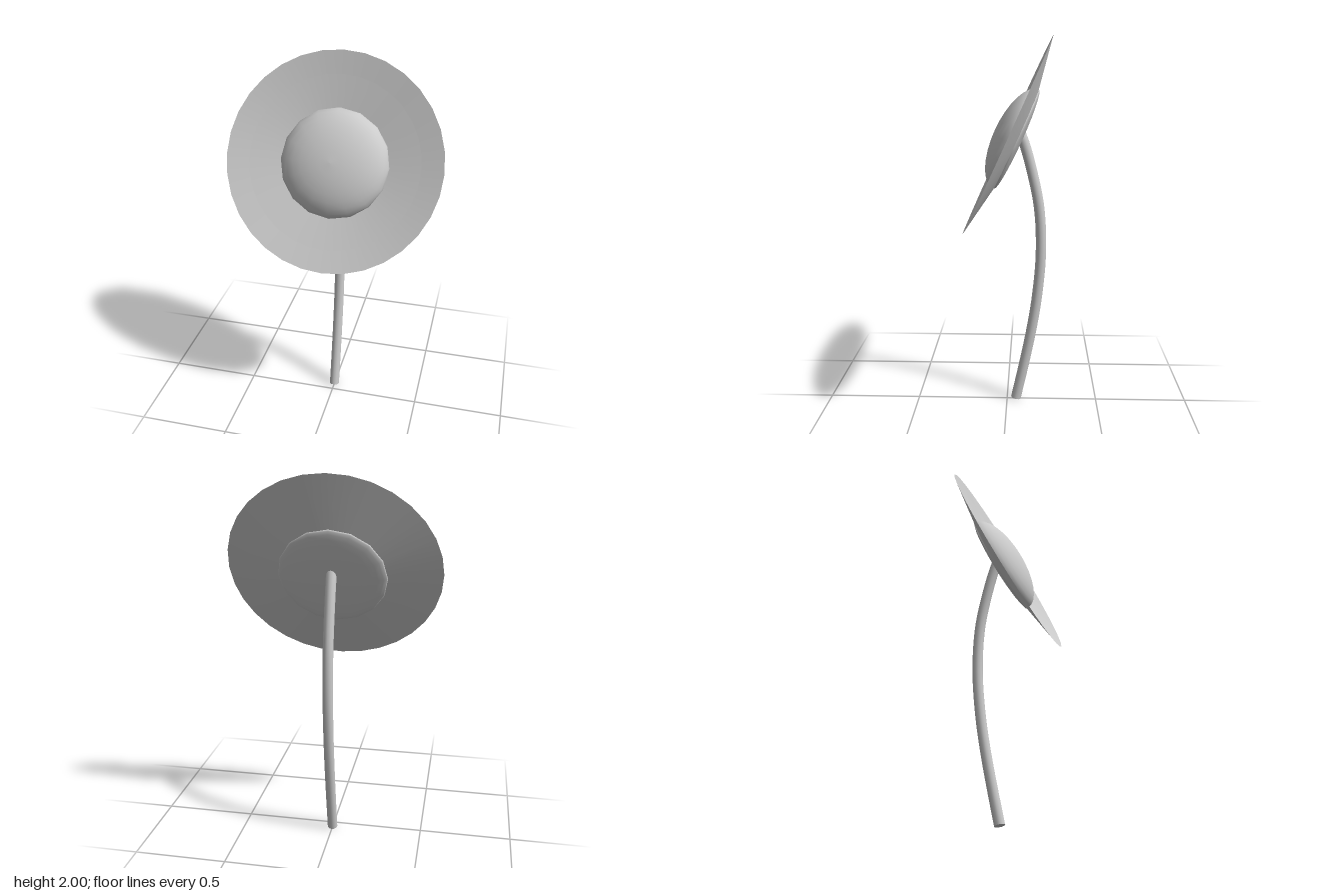
import * as THREE from 'three';

const material = new THREE.MeshStandardMaterial({ color: 0xcccccc });
const thinMaterial = new THREE.MeshStandardMaterial({ color: 0xcccccc, side: THREE.DoubleSide });

// Revolve [radius, height] pairs around the flower axis
function lathe(name, profile, sides, mat) {
  const points = profile.map(([r, h]) => new THREE.Vector2(r, h));
  const mesh = new THREE.Mesh(new THREE.LatheGeometry(points, sides), mat);
  mesh.name = name;
  return mesh;
}

export function createModel() {
  const model = new THREE.Group();
  model.name = 'flower';

  // Flower head: local y is its axis, tipped forward and slightly up
  const head = new THREE.Group();
  head.name = 'flowerHead';
  head.position.set(0, 1.487, 0);
  head.rotation.x = 1.141;
  model.add(head);

  // Shallow conical petal dishes
  head.add(lathe('outerPetals', [[0.27, -0.052], [0.567, 0]], 32, thinMaterial));
  head.add(lathe('innerPetals', [[0.27, -0.047], [0.45, -0.019]], 32, thinMaterial));

  // Seed centre: full dome in front, shallow bulge behind
  const radius = 0.287, base = -0.05, steps = 8;
  const profile = [];
  for (let i = 0; i <= 2 * steps; i++) {
    const a = (i / steps - 1) * Math.PI / 2;
    const height = a < 0 ? 0.03 : 0.122;
    profile.push([Math.max(0, radius * Math.cos(a)), base + height * Math.sin(a)]);
  }
  head.add(lathe('seedCentre', profile, 16, material));

  // Stem bowing backwards, ending inside the seed centre
  const path = new THREE.CatmullRomCurve3([
    [0.008, -0.05], [0.2, -0.092], [0.4, -0.132], [0.6, -0.163], [0.85, -0.183],
    [1.1, -0.172], [1.3, -0.132], [1.45, -0.09], [1.54, -0.055],
  ].map(([y, z]) => new THREE.Vector3(0, y, z)));
  const stem = new THREE.Mesh(new THREE.TubeGeometry(path, 32, 0.028, 12), material);
  stem.name = 'stem';
  model.add(stem);

  // Cap on the cut end of the stem
  const cap = new THREE.Mesh(new THREE.CircleGeometry(0.028, 12), thinMaterial);
  cap.name = 'stemEnd';
  cap.position.copy(path.getPoint(0));
  cap.quaternion.setFromUnitVectors(new THREE.Vector3(0, 0, 1), path.getTangent(0).negate());
  model.add(cap);

  return model;
}
